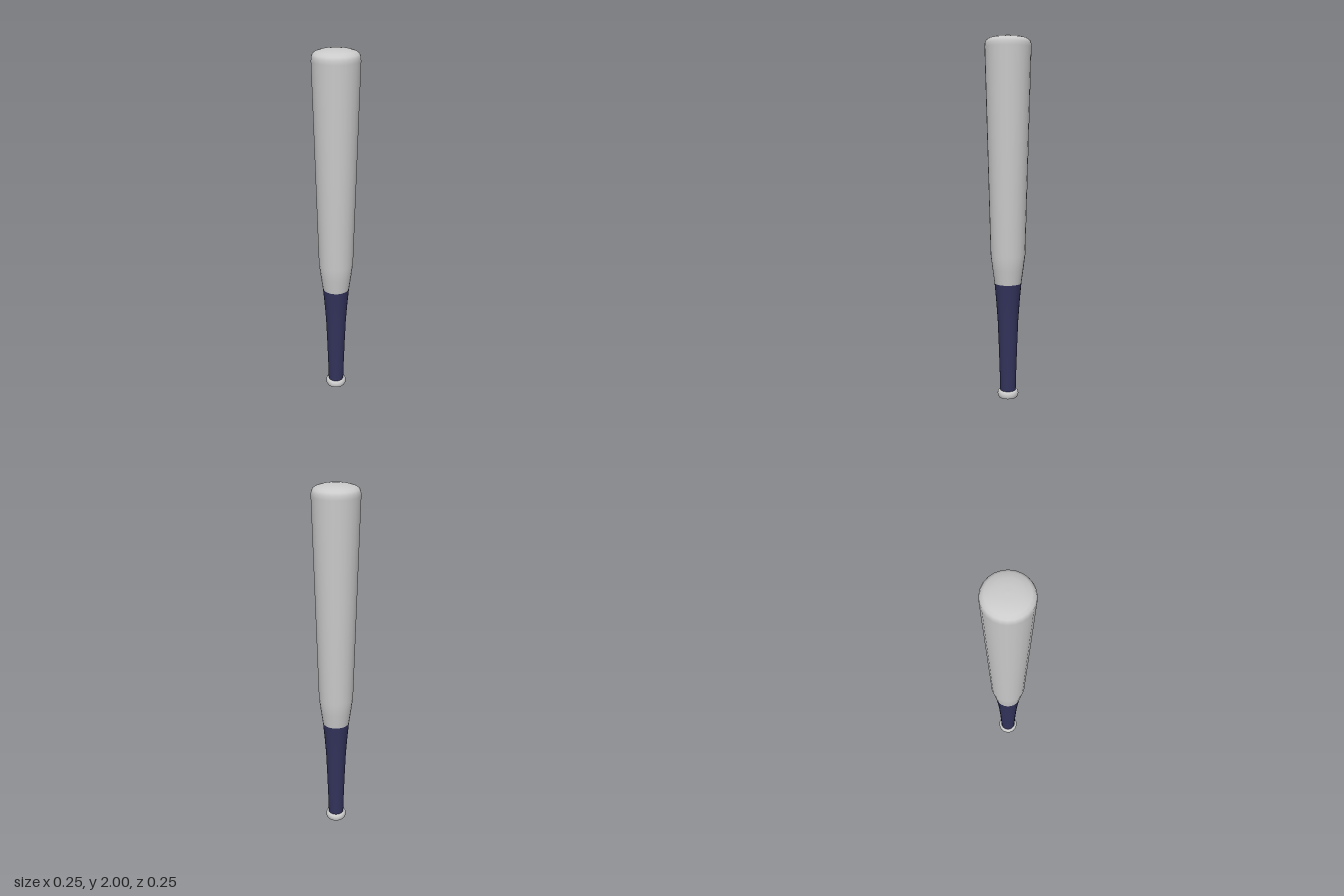
import * as THREE from 'three';

const SIDES = 24;

// Smooth turned part from [radius, height] pairs, listed bottom to top
function turned(name, profile, material) {
  const points = profile.map(([r, y]) => new THREE.Vector2(r, y));
  const mesh = new THREE.Mesh(new THREE.LatheGeometry(points, SIDES), material);
  mesh.name = name;
  return mesh;
}

export function createModel() {
  const grey = new THREE.MeshStandardMaterial({ color: 0xcccccc });
  const navy = new THREE.MeshStandardMaterial({ color: 0x33335c });
  const bat = new THREE.Group();
  bat.name = 'bat';

  // Barrel with a rounded, gently domed end
  bat.add(turned('barrel', [
    [0.075, 0.66], [0.086, 0.74], [0.096, 0.82], [0.111, 1.4], [0.125, 1.94],
    [0.124, 1.96], [0.118, 1.975], [0.102, 1.986], [0.07, 1.995], [0.035, 1.999], [0, 2],
  ], grey));

  // Wrapped grip, flaring towards the barrel
  bat.add(turned('grip', [
    [0.044, 0.03], [0.047, 0.15], [0.052, 0.3], [0.058, 0.45], [0.066, 0.56], [0.075, 0.66],
  ], navy));

  // Rounded knob
  bat.add(turned('knob', [
    [0.053, 0], [0.058, 0.008], [0.059, 0.02], [0.057, 0.032], [0.051, 0.039], [0.043, 0.04],
  ], grey));

  // Flat underside of the knob
  const base = new THREE.Mesh(new THREE.CircleGeometry(0.053, SIDES), grey);
  base.name = 'knobBase';
  base.rotation.x = Math.PI / 2;
  bat.add(base);

  return bat;
}
